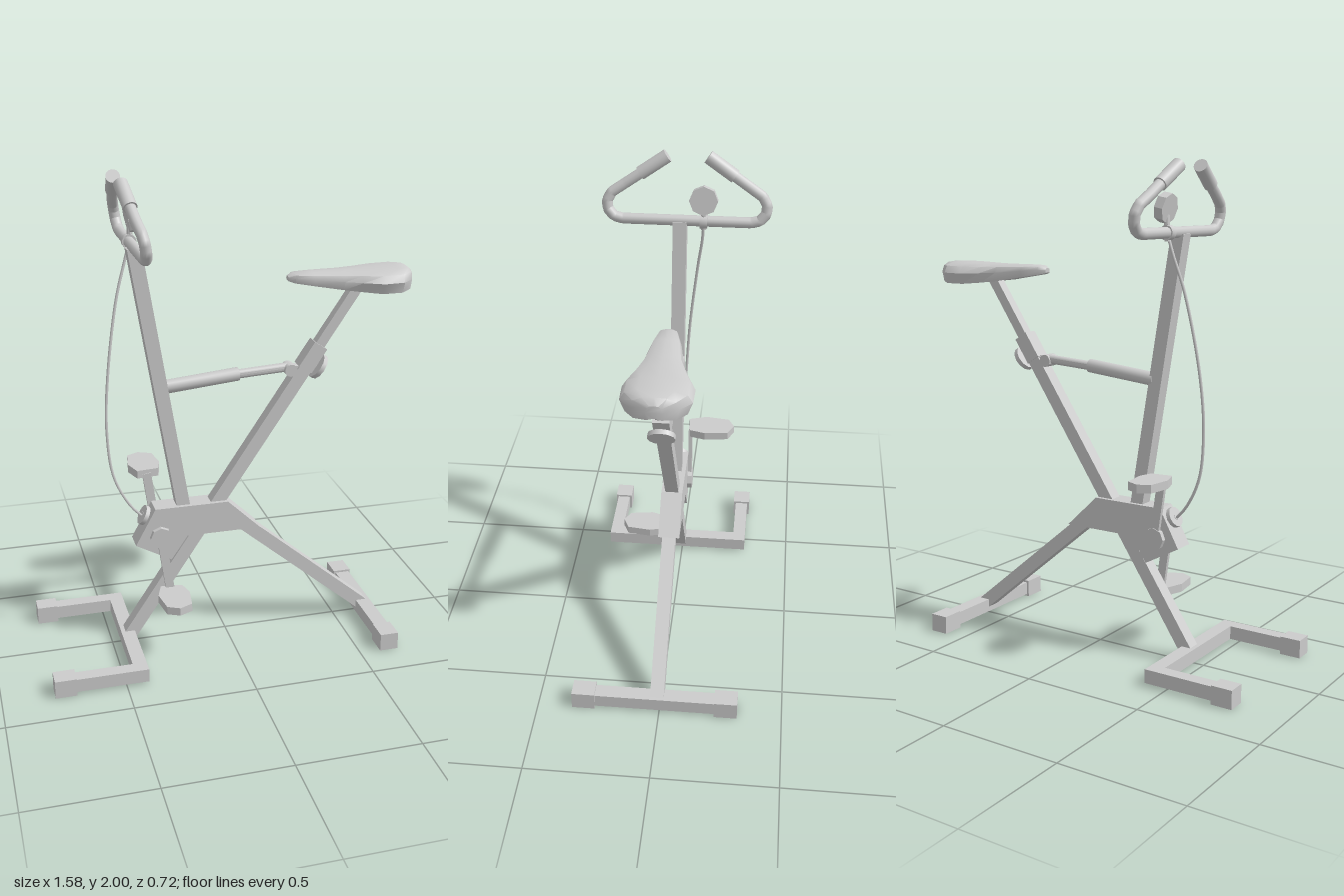
import * as THREE from 'three';
import { toCreasedNormals } from 'three/addons/utils/BufferGeometryUtils.js';

const material = new THREE.MeshStandardMaterial({ color: 0xcccccc, side: THREE.DoubleSide });
const V = (x, y, z) => new THREE.Vector3(x, y, z);
const ZC = 0.01; // centre plane of the frame

export function createModel() {
  const model = new THREE.Group();
  model.name = 'exerciseBike';

  const add = (name, geometry, parent = model) => {
    const mesh = new THREE.Mesh(geometry, material);
    mesh.name = name;
    parent.add(mesh);
    return mesh;
  };
  // Box given by its minimum and maximum corners
  const box = (name, x0, x1, y0, y1, z0, z1) =>
    add(name, new THREE.BoxGeometry(x1 - x0, y1 - y0, z1 - z0))
      .position.set((x0 + x1) / 2, (y0 + y1) / 2, (z0 + z1) / 2);
  // Rectangular bar between two points of a plane z = const
  const bar = (name, [x0, y0], [x1, y1], width, depth, z = ZC) => {
    const m = add(name, new THREE.BoxGeometry(width, Math.hypot(x1 - x0, y1 - y0), depth));
    m.position.set((x0 + x1) / 2, (y0 + y1) / 2, z);
    m.rotation.z = -Math.atan2(x1 - x0, y1 - y0);
  };
  // Cylinder between two points
  const rod = (name, a, b, r, sides = 16, r2 = r) => {
    const m = add(name, toCreasedNormals(new THREE.CylinderGeometry(r2, r, a.distanceTo(b), sides), 0.7));
    m.position.copy(a).lerp(b, 0.5);
    m.quaternion.setFromUnitVectors(V(0, 1, 0), b.clone().sub(a).normalize());
  };
  // Outline extruded symmetrically about the origin
  const plate = (points, depth) => {
    const shape = new THREE.Shape(points.map(([x, y]) => new THREE.Vector2(x, y)));
    return new THREE.ExtrudeGeometry(shape, { depth, bevelEnabled: false }).translate(0, 0, -depth / 2);
  };

  // Frame tubes
  bar('handlebarPost', [-0.18, 0.58], [-0.366, 1.72], 0.056, 0.056);
  bar('seatTube', [-0.435, 0.035], [0.385, 1.26], 0.056, 0.056);
  bar('seatTubeSleeve', [0.33, 1.178], [0.395, 1.275], 0.064, 0.064);
  bar('seatPost', [0.36, 1.223], [0.555, 1.514], 0.042, 0.042);
  bar('rearLeg', [0.04, 0.54], [0.625, 0.045], 0.056, 0.056);

  // Body joining the tubes and holding the crank
  add('crankHousing', plate([[-0.31, 0.63], [-0.395, 0.475], [-0.245, 0.393], [-0.175, 0.495],
    [0.05, 0.495], [0.14, 0.495], [0, 0.63]], 0.09)).position.z = ZC;

  // Front foot, U-shaped
  box('frontFootCrossbar', -0.466, -0.408, 0.01, 0.066, -0.3, 0.348);
  for (const z of [-0.272, 0.32]) {
    box('frontFootArm', -0.76, -0.43, 0.01, 0.066, z - 0.028, z + 0.028);
    box('frontFootCap', -0.79, -0.703, 0, 0.075, z - 0.038, z + 0.038);
  }
  // Rear foot
  box('rearFootCrossbar', 0.597, 0.659, 0.01, 0.066, -0.3, 0.34);
  for (const z of [-0.272, 0.312]) box('rearFootCap', 0.588, 0.666, 0, 0.075, z - 0.047, z + 0.047);

  // Brace between the post and the seat tube
  rod('braceSleeve', V(-0.255, 1.143, ZC - 0.005), V(0.055, 1.173, ZC - 0.005), 0.028);
  rod('braceRod', V(0.05, 1.172, ZC - 0.005), V(0.27, 1.185, ZC - 0.005), 0.019);
  rod('braceJoint', V(0.27, 1.178, ZC - 0.03), V(0.27, 1.178, ZC + 0.03), 0.026);
  bar('braceBracket', [0.265, 1.178], [0.335, 1.165], 0.042, 0.04);

  // Seat height knob
  rod('seatKnobStem', V(0.335, 1.218, ZC), V(0.395, 1.178, ZC), 0.012, 10);
  rod('seatKnob', V(0.386, 1.184, ZC), V(0.402, 1.173, ZC), 0.054, 12);

  // Resistance knob on the slanted front of the housing
  rod('resistanceKnobStem', V(-0.325, 0.575, ZC), V(-0.36, 0.595, ZC), 0.012, 10);
  rod('resistanceKnob', V(-0.343, 0.587, ZC), V(-0.358, 0.595, ZC), 0.042, 12);

  // Crank hubs, arms and pedals, half a turn apart
  const pedalOutline = [[-0.04, 0.045], [0.05, 0.055], [0.068, 0.12], [0.055, 0.22],
    [0, 0.245], [-0.05, 0.22], [-0.065, 0.12]];
  for (const s of [1, -1]) {
    const end = [-0.29 + s * 0.035, 0.505 - s * 0.25];
    rod('crankHub', V(-0.29, 0.505, ZC + s * 0.04), V(-0.29, 0.505, ZC + s * 0.065), 0.046, 8);
    bar('crankArm', [-0.29, 0.505], end, 0.036, 0.016, ZC + s * 0.054);
    const pedal = add('pedal', plate(pedalOutline.map(([x, z]) => [x, -s * z]), 0.034));
    pedal.rotation.x = -Math.PI / 2;
    pedal.position.set(end[0], end[1], ZC);
  }

  // Handlebar: one bent tube with a grip at each end
  const barZ = -0.016;
  const half = [[-0.366, 1.723, 0.26], [-0.367, 1.732, 0.295], [-0.371, 1.76, 0.319], [-0.376, 1.795, 0.322],
    [-0.383, 1.828, 0.303], [-0.393, 1.862, 0.25], [-0.414, 1.968, 0.09]];
  const side = s => half.map(([x, y, z]) => V(x, y, barZ + s * z));
  const path = new THREE.CurvePath();
  const points = [...side(1).reverse(), ...side(-1)];
  for (let i = 1; i < points.length; i++) path.add(new THREE.LineCurve3(points[i - 1], points[i]));
  add('handlebar', new THREE.TubeGeometry(path, 120, 0.022, 12));
  for (const s of [1, -1])
    rod('handlebarGrip', V(-0.401, 1.902, barZ + s * 0.19), V(-0.416, 1.974, barZ + s * 0.081), 0.028);

  // Display on a short stem
  rod('displayClamp', V(-0.364, 1.723, -0.1), V(-0.364, 1.723, -0.07), 0.029);
  rod('displayStem', V(-0.362, 1.69, -0.085), V(-0.358, 1.79, -0.085), 0.012, 8);
  rod('display', V(-0.372, 1.812, -0.085), V(-0.336, 1.819, -0.085), 0.058, 8);

  // Cable from the display to the resistance knob
  const cable = new THREE.CatmullRomCurve3([V(-0.362, 1.72, -0.085), V(-0.385, 1.64, -0.08), V(-0.425, 1.5, -0.06),
    V(-0.475, 1.195, -0.025), V(-0.489, 0.97, -0.01), V(-0.468, 0.77, 0), V(-0.405, 0.64, 0.008), V(-0.35, 0.58, ZC)]);
  add('cable', new THREE.TubeGeometry(cable, 40, 0.006, 6));

  // Saddle: sections along x as [x, half width, bottom, top]
  const sections = [[0.26, 0.014, 1.545, 1.565], [0.285, 0.036, 1.538, 1.577], [0.36, 0.055, 1.526, 1.578],
    [0.48, 0.074, 1.506, 1.577], [0.55, 0.096, 1.498, 1.578], [0.63, 0.127, 1.491, 1.58],
    [0.715, 0.125, 1.491, 1.582], [0.762, 0.085, 1.496, 1.58], [0.785, 0.03, 1.505, 1.56]];
  const profile = [[1, 0.5], [0.86, 0.82], [0.5, 0.97], [0, 1], [-0.5, 0.97], [-0.86, 0.82], [-1, 0.5],
    [-0.86, 0], [-0.4, 0.06], [0, 0.12], [0.4, 0.06], [0.86, 0]];
  const n = profile.length, last = sections.length - 1;
  const pos = [], index = [];
  for (const [x, w, y0, y1] of sections)
    for (const [z, y] of profile) pos.push(x, y0 + (y1 - y0) * y, z * w - 0.007);
  for (let j = 0; j < n; j++) {
    const k = (j + 1) % n;
    for (let i = 0; i < last; i++) {
      const a = i * n, b = a + n;
      index.push(a + j, b + j, b + k, a + j, b + k, a + k);
    }
    // End caps as fans
    if (j > 0 && j < n - 1) index.push(0, j, k, last * n, last * n + k, last * n + j);
  }
  const saddle = new THREE.BufferGeometry();
  saddle.setAttribute('position', new THREE.Float32BufferAttribute(pos, 3));
  saddle.setIndex(index);
  add('saddle', toCreasedNormals(saddle, 0.75));

  return model;
}
